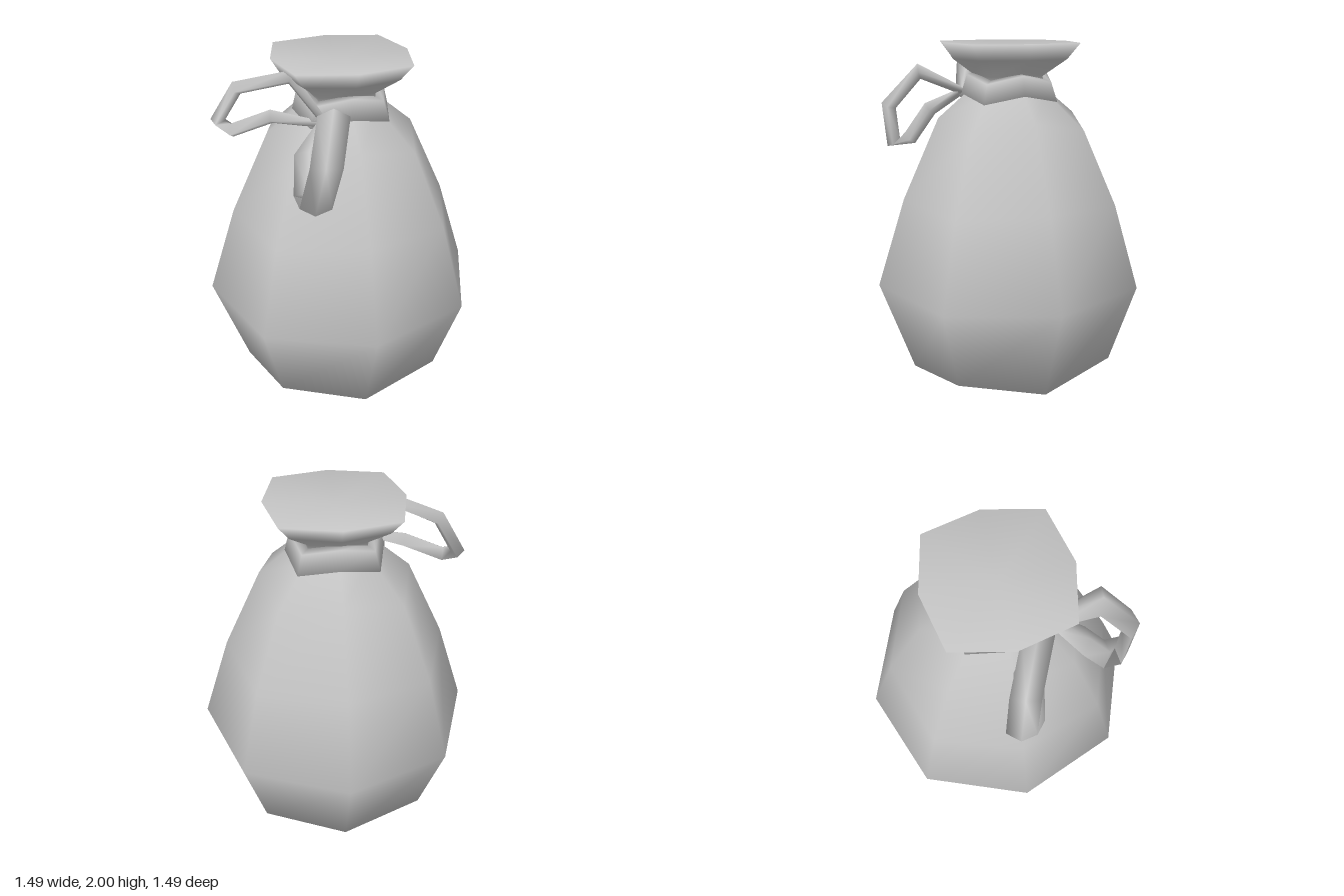
import * as THREE from 'three';

const SIDES = 8;
const TWIST = THREE.MathUtils.degToRad(8.4);

// Indexed geometry with shared vertices, so shading is smooth over the low-poly form
function smooth(points, index) {
  const g = new THREE.BufferGeometry();
  g.setAttribute('position', new THREE.Float32BufferAttribute(points, 3));
  g.setIndex(index);
  g.computeVertexNormals();
  return g;
}

// Eight points whose radius and height alternate: [evenR, evenY, oddR, oddY]
function ring([r0, y0, r1, y1]) {
  const out = [];
  for (let j = 0; j < SIDES; j++) {
    const a = TWIST + (j * Math.PI * 2) / SIDES;
    const r = j % 2 ? r1 : r0;
    out.push(r * Math.sin(a), j % 2 ? y1 : y0, r * Math.cos(a));
  }
  return out;
}

// Quads between successive rings of n points
function skin(index, rows, n, closed) {
  for (let i = 0; i < (closed ? rows : rows - 1); i++) {
    for (let j = 0; j < n; j++) {
      const k = (j + 1) % n, up = ((i + 1) % rows) * n;
      const a = i * n + j, b = i * n + k, c = up + j, d = up + k;
      index.push(a, b, d, a, d, c);
    }
  }
}

// Sack: stacked rings closed by a pointed base and a shallow mouth
function sackGeometry() {
  const profile = [
    [0.617, 0.3, 0.56, 0.225],
    [0.755, 0.74, 0.738, 0.74],
    [0.617, 1.18, 0.585, 1.2],
    [0.435, 1.56, 0.385, 1.62],
    [0.22, 1.75, 0.2, 1.77],
    [0.2, 1.83, 0.19, 1.84],
    [0.335, 1.92, 0.3, 1.92],
    [0.404, 2, 0.35, 2],
  ];
  const points = profile.flatMap(ring), index = [];
  skin(index, profile.length, SIDES, false);
  const base = points.length / 3, mouth = base + 1;
  points.push(0, 0, 0, 0, 1.97, 0);
  const last = (profile.length - 1) * SIDES;
  for (let j = 0; j < SIDES; j++) {
    const k = (j + 1) % SIDES;
    index.push(base, k, j, mouth, last + j, last + k);
  }
  return smooth(points, index);
}

// Tie: a zigzag band wrapped round the neck
function tieGeometry() {
  const section = [
    [0.19, 1.71, 0.18, 1.75],
    [0.285, 1.7, 0.25, 1.74],
    [0.25, 1.8, 0.225, 1.84],
    [0.19, 1.82, 0.18, 1.85],
  ];
  const index = [];
  skin(index, section.length, SIDES, true);
  return smooth(section.flatMap(ring), index);
}

// Bow loop: a four-sided cord swept along a path, wider along the given axis
function loopGeometry(path, axis, halfWidth, halfThick) {
  const pts = path.map((p) => new THREE.Vector3(...p));
  const w = new THREE.Vector3(...axis).normalize();
  const points = [], index = [], n = 4, rows = pts.length;
  pts.forEach((p, i) => {
    const t = pts[Math.min(i + 1, rows - 1)].clone().sub(pts[Math.max(i - 1, 0)]).normalize();
    const nrm = new THREE.Vector3().crossVectors(t, w).normalize();
    const taper = i === 0 || i === rows - 1 ? 0.5 : 1;
    for (let j = 0; j < n; j++) {
      const a = (j * Math.PI * 2) / n;
      const q = p.clone()
        .addScaledVector(w, Math.cos(a) * halfWidth * taper)
        .addScaledVector(nrm, -Math.sin(a) * halfThick * taper);
      points.push(q.x, q.y, q.z);
    }
  });
  skin(index, rows, n, false);
  // End caps
  const e = (rows - 1) * n;
  index.push(0, 2, 1, 0, 3, 2, e, e + 1, e + 2, e, e + 2, e + 3);
  return smooth(points, index);
}

export function createModel() {
  const group = new THREE.Group();
  group.name = 'tiedSack';
  const cloth = new THREE.MeshStandardMaterial({ color: 0xc4c4c4, side: THREE.DoubleSide });
  cloth.name = 'grey cloth';

  const add = (name, geometry) => {
    const mesh = new THREE.Mesh(geometry, cloth);
    mesh.name = name;
    group.add(mesh);
  };

  add('sack', sackGeometry());
  add('neckTie', tieGeometry());

  // Raised loop on the right
  add('rightBowLoop', loopGeometry([
    [0.08, 1.75, 0.24], [-0.07, 1.94, 0.29], [-0.31, 1.87, 0.42],
    [-0.4, 1.7, 0.48], [-0.32, 1.66, 0.46], [-0.17, 1.73, 0.33], [0.07, 1.72, 0.24],
  ], [0.62, 0, 0.79], 0.07, 0.035));

  // Drooping loop on the left
  add('leftBowLoop', loopGeometry([
    [0.08, 1.74, 0.24], [0.27, 1.85, 0.38], [0.35, 1.67, 0.53],
    [0.3, 1.46, 0.55], [0.22, 1.48, 0.5], [0.15, 1.64, 0.41], [0.1, 1.73, 0.25],
  ], [0.8, 0, -0.6], 0.075, 0.04));

  return group;
}
